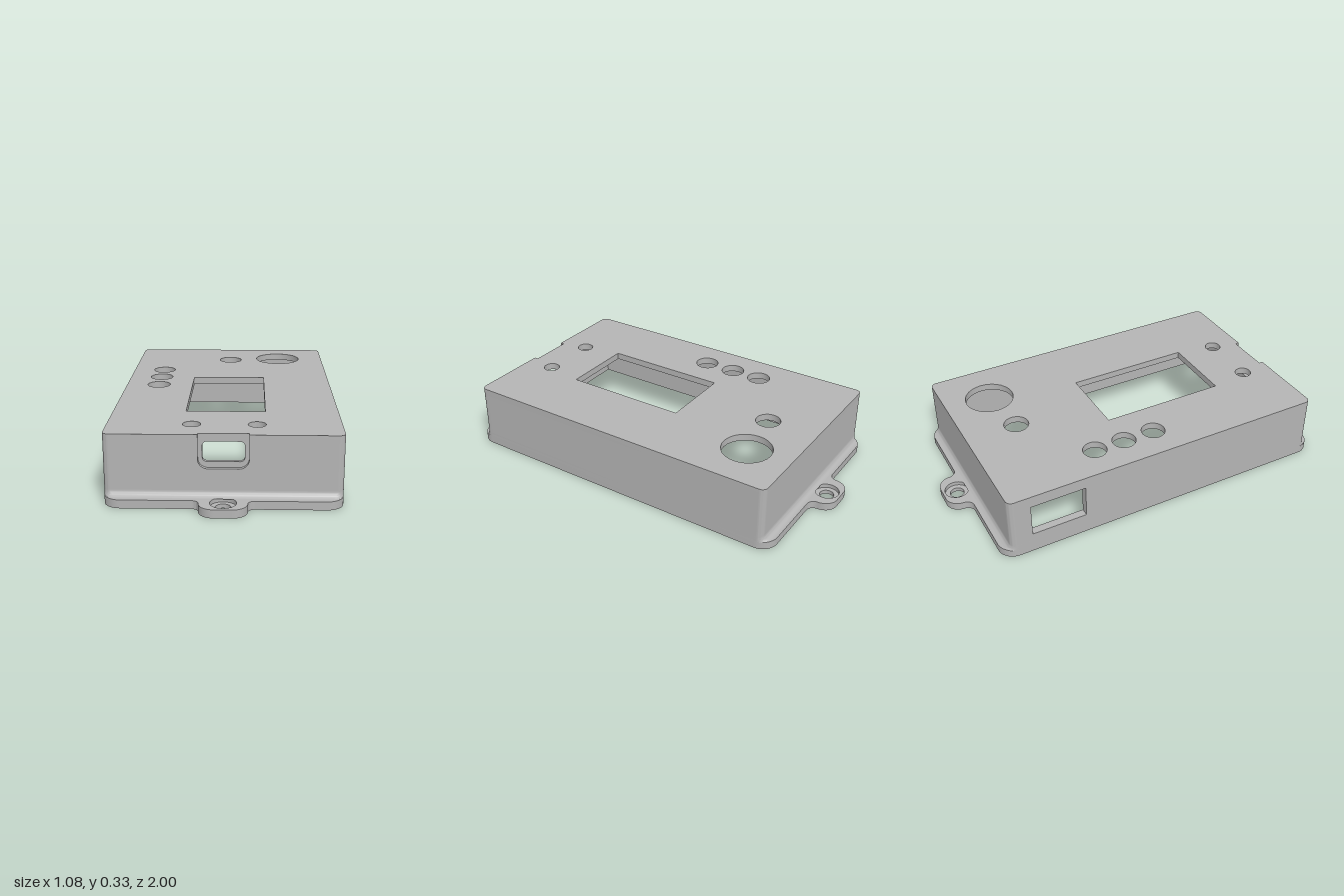
import * as THREE from 'three';
import { toCreasedNormals } from 'three/addons/utils/BufferGeometryUtils.js';

const W = 0.54, D = 0.85, H = 0.332;   // half width, half depth, height of the case
const T = 0.04, LID = 0.035;           // wall and lid thickness
const FLANGE = 0.04, R = 0.03;         // flange height, vertical corner radius

// Closed outline through [x, y, radius] corners, each rounded by an arc
function outline(corners, Type = THREE.Shape) {
  const path = new Type();
  const n = corners.length;
  const toward = (p, q, d) => {
    const l = Math.hypot(q[0] - p[0], q[1] - p[1]);
    return [p[0] + (q[0] - p[0]) * d / l, p[1] + (q[1] - p[1]) * d / l];
  };
  corners.forEach((p, i) => {
    const r = p[2] || 0;
    const a = toward(p, corners[(i + n - 1) % n], r);
    const b = toward(p, corners[(i + 1) % n], r);
    if (i === 0) path.moveTo(...a); else path.lineTo(...a);
    if (r) {
      path.bezierCurveTo(...toward(p, a, r * 0.448), ...toward(p, b, r * 0.448), ...b);
    }
  });
  path.closePath();
  return path;
}

const rect = (x0, y0, x1, y1, r, Type) =>
  outline([[x0, y0, r], [x1, y0, r], [x1, y1, r], [x0, y1, r]], Type);
const rectHole = (x0, y0, x1, y1, r = 0) => rect(x0, y0, x1, y1, r, THREE.Path);
const roundHole = (x, y, r) => new THREE.Path().absarc(x, y, r, 0, Math.PI * 2, true);

function extrude(shape, depth, holes = []) {
  shape.holes.push(...holes);
  return new THREE.ExtrudeGeometry(shape, { depth, bevelEnabled: false, curveSegments: 14 });
}

// Horizontal plate drawn in x, z with its upper face at the given height
const plate = (shape, top, depth, holes) =>
  extrude(shape, depth, holes).rotateX(Math.PI / 2).translate(0, top, 0);

// Concave sweep from the flange up to the end walls, lofted from rounded rectangles
function filletGeometry() {
  const steps = 8, arc = 8, size = 0.03;
  const pos = [], index = [];
  const ring = 4 * (arc + 1);
  for (let s = 0; s <= steps; s++) {
    const a = s / steps * Math.PI / 2;
    const spread = size * (1 - Math.sin(a));
    const y = FLANGE + size * (1 - Math.cos(a));
    const r = R + spread;
    for (let c = 0; c < 4; c++) {
      const sx = c === 0 || c === 3 ? 1 : -1, sz = c < 2 ? 1 : -1;
      for (let k = 0; k <= arc; k++) {
        const t = (c + k / arc) * Math.PI / 2;
        pos.push(sx * (W - r) + r * Math.cos(t), y, sz * (D - R) + r * Math.sin(t));
      }
    }
  }
  for (let s = 0; s < steps; s++) {
    for (let k = 0; k < ring; k++) {
      const a = s * ring + k, b = s * ring + (k + 1) % ring;
      index.push(a, a + ring, b, b, a + ring, b + ring);
    }
  }
  const geo = new THREE.BufferGeometry();
  geo.setAttribute('position', new THREE.Float32BufferAttribute(pos, 3));
  geo.setIndex(index);
  return geo;
}

export function createModel() {
  const model = new THREE.Group();
  model.name = 'enclosure';
  const grey = new THREE.MeshStandardMaterial({ color: 0xb4b4b4 });
  grey.name = 'grey plastic';
  const add = (name, geo) => {
    const mesh = new THREE.Mesh(toCreasedNormals(geo, 0.6), grey);
    mesh.name = name;
    model.add(mesh);
    return mesh;
  };

  // Flange with two screw tabs; the wider upper holes form the counterbores
  const flangeShape = () => outline([
    [-W, -0.89, 0.08], [-0.11, -0.89, 0.04], [-0.11, -1, 0.07],
    [0.11, -1, 0.07], [0.11, -0.89, 0.04], [W, -0.89, 0.08],
    [W, 0.9, 0.08], [0.11, 0.9, 0.03], [0.11, 1, 0.07],
    [-0.11, 1, 0.07], [-0.11, 0.9, 0.03], [-W, 0.9, 0.08],
  ]);
  for (const [name, top, r] of [['flangeLower', 0.02, 0.035], ['flangeUpper', FLANGE, 0.06]]) {
    add(name, plate(flangeShape(), top, 0.02, [
      rectHole(-W + T, -D + T, W - T, D - T),
      roundHole(0, -0.928, r), roundHole(0, 0.922, r),
    ]));
  }
  add('flangeFillet', filletGeometry());

  // Lid with display window, button, sensor and screw holes, notched at the front
  const notch = 0.115, notchDepth = 0.02;
  const lid = outline([
    [-W, -D, R], [W, -D, R], [W, D, R], [notch, D], [notch, D - notchDepth],
    [-notch, D - notchDepth], [-notch, D], [-W, D, R],
  ]);
  add('lid', plate(lid, H, LID, [
    rectHole(-0.19, -0.155, 0.19, 0.49),
    roundHole(0, -0.58, 0.063),
    roundHole(0.28, -0.615, 0.125),
    ...[-0.325, -0.165, 0].map((z) => roundHole(-0.37, z, 0.06)),
    ...[-0.15, 0.15].map((x) => roundHole(x, 0.695, 0.042)),
  ]));

  // Side walls; the right one has a rectangular opening near the back
  const y0 = FLANGE, y1 = H - LID, zi = D - T, xi = W - T;
  const side = (holes) => extrude(rect(-zi, y0, zi, y1), T, holes).rotateY(-Math.PI / 2);
  add('leftWall', side([]).translate(W, 0, 0));
  add('rightWall', side([rectHole(-0.74, 0.105, -0.46, 0.272)]).translate(-xi, 0, 0));

  // Back wall
  add('backWall', extrude(rect(-xi, y0, xi, y1), T).translate(0, 0, -D));

  // Front wall: outer layer with the recess, inner layer with the port opening
  const recessed = outline([
    [-xi, y0], [xi, y0], [xi, y1], [notch, y1], [notch, 0.172, 0.045],
    [-notch, 0.172, 0.045], [-notch, y1], [-xi, y1],
  ]);
  add('frontWallOuter', extrude(recessed, notchDepth).translate(0, 0, D - notchDepth));
  add('frontWallInner', extrude(rect(-xi, y0, xi, y1), T - notchDepth,
    [rectHole(-0.095, 0.2, 0.095, 0.294, 0.02)]).translate(0, 0, zi));

  // Rounded corner posts
  for (const sx of [-1, 1]) {
    for (const sz of [-1, 1]) {
      const post = outline([
        [sx * xi, sz * zi], [sx * W, sz * zi], [sx * W, sz * D, R], [sx * xi, sz * D],
      ]);
      add('cornerPost', plate(post, y1, y1 - y0));
    }
  }
  return model;
}
